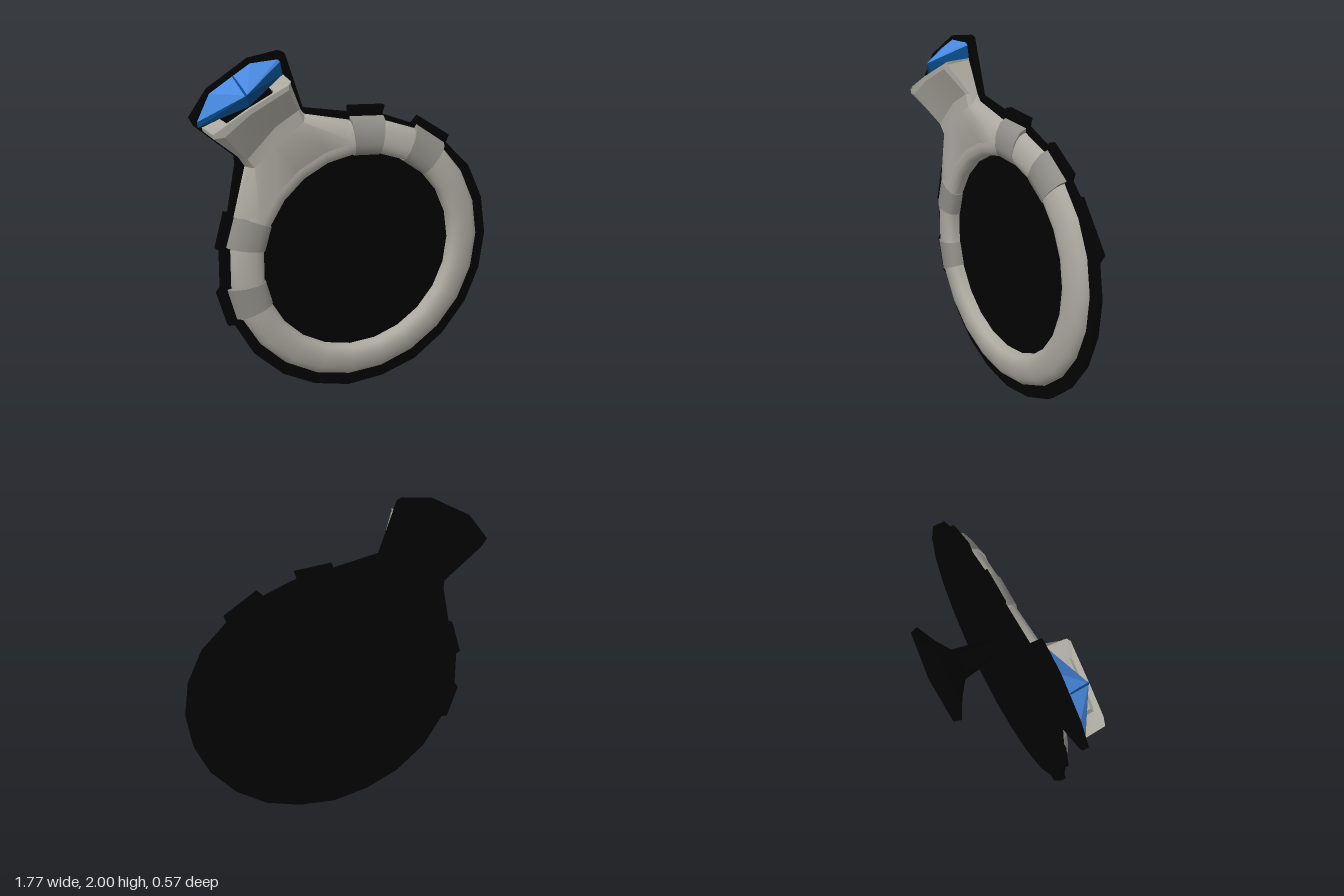
import * as THREE from 'three';
import { toCreasedNormals } from 'three/addons/utils/BufferGeometryUtils.js';
import { ConvexGeometry } from 'three/addons/geometries/ConvexGeometry.js';

const CX = 0.06, CY = 0.83; // centre of the ring
const BACK = 0.1, FACE = 0.135; // back and front of the plate
const RAD = Math.PI / 180;

const paint = (color, flatShading = false) => new THREE.MeshStandardMaterial({ color, flatShading });
const black = paint(0x020202, true);
const metal = paint(0xaba99f);
const clampMetal = paint(0x8f8d87);
const lightBlue = paint(0x4889e0, true);
const darkBlue = paint(0x094a88, true);

function add(group, name, geometry, material) {
  const mesh = new THREE.Mesh(geometry, material);
  mesh.name = name;
  group.add(mesh);
  return mesh;
}

// Skin between matching open sections, with both ends closed
function loft(sections, crease) {
  const n = sections[0].length, last = sections.length - 1, pos = [];
  const tri = (a, b, c) => pos.push(...a, ...b, ...c);
  for (let s = 0; s < last; s++) {
    for (let i = 0; i < n - 1; i++) {
      const a = sections[s][i], b = sections[s][i + 1];
      const c = sections[s + 1][i + 1], d = sections[s + 1][i];
      tri(a, b, c);
      tri(a, c, d);
    }
  }
  for (let i = 1; i < n - 1; i++) {
    tri(sections[0][0], sections[0][i + 1], sections[0][i]);
    tri(sections[last][0], sections[last][i], sections[last][i + 1]);
  }
  const g = new THREE.BufferGeometry();
  g.setAttribute('position', new THREE.Float32BufferAttribute(pos, 3));
  return toCreasedNormals(g, crease);
}

// Lathe turned so that its axis runs along z
function lathe(profile, segments, start = 0) {
  const g = new THREE.LatheGeometry(profile.map(p => new THREE.Vector2(...p)), segments, start);
  return g.rotateX(Math.PI / 2);
}

// Point on the ring at an angle, radius and height
const polar = (deg, r, z) => [CX + r * Math.cos(deg * RAD), CY + r * Math.sin(deg * RAD), z];

const hull = points => new ConvexGeometry(points.map(p => new THREE.Vector3(...p)));

export function createModel() {
  const model = new THREE.Group();
  model.name = 'ringOnStand';

  // Back plate following the whole silhouette, clamps and gem included
  const outline = [
    [0.88, 0.82], [0.85, 1.04], [0.76, 1.24], [0.61, 1.395], [0.627, 1.438], [0.437, 1.565],
    [0.4, 1.525], [0.21, 1.6], [0.225, 1.65], [0.013, 1.665], [0.01, 1.63], [-0.257, 1.68],
    [-0.357, 1.985], [-0.365, 1.993], [-0.39, 2], [-0.558, 1.973], [-0.786, 1.83], [-0.886, 1.687],
    [-0.86, 1.64], [-0.645, 1.455], [-0.64, 1.41], [-0.688, 1.145], [-0.712, 1.151], [-0.765, 0.95],
    [-0.743, 0.94], [-0.743, 0.72], [-0.765, 0.69], [-0.706, 0.493], [-0.67, 0.493],
    [-0.558, 0.297], [-0.39, 0.143], [-0.2, 0.048], [0.013, 0], [0.23, 0.02], [0.44, 0.09],
    [0.62, 0.223], [0.765, 0.403], [0.85, 0.605],
  ].map(p => new THREE.Vector2(...p));
  const plate = new THREE.ExtrudeGeometry(new THREE.Shape(outline), { depth: FACE - BACK, bevelEnabled: false });
  add(model, 'backPlate', plate.translate(0, 0, BACK), black);

  // Rounded ring band
  const band = lathe([
    [0.755, FACE], [0.75, 0.155], [0.735, 0.174], [0.71, 0.19], [0.67, 0.202], [0.63, 0.207],
    [0.6, 0.2], [0.58, 0.188], [0.572, 0.17], [0.57, FACE],
  ], 23, 90 * RAD);
  add(model, 'ringBand', band, metal).position.set(CX, CY, 0);

  // Clamps gripping the band
  const clampProfile = [
    [0.566, FACE], [0.567, 0.175], [0.585, 0.198], [0.63, 0.21], [0.7, 0.202], [0.76, 0.172], [0.78, FACE],
  ];
  for (const [from, to] of [[78.4, 93.5], [46.5, 62.5], [157, 171], [189, 203]]) {
    const sections = [from, to].map(deg => clampProfile.map(([r, z]) => polar(deg, r, z)));
    add(model, 'clamp', loft(sections, 1), clampMetal);
  }

  // Shoulder spreading from the crest of the band to the setting
  const shoulder = [
    [-0.665, 1.12, FACE], [-0.64, 1.12, 0.175],
    ...[158, 142, 125, 108, 92].map(deg => polar(deg, 0.64, 0.205)),
    [0.01, 1.56, 0.175], [0.01, 1.59, FACE],
  ];
  const neck = [
    [-0.595, 1.4, FACE], [-0.585, 1.4, 0.175], [-0.56, 1.4, 0.197], [-0.5, 1.455, 0.2], [-0.44, 1.51, 0.203],
    [-0.36, 1.565, 0.2], [-0.28, 1.62, 0.197], [-0.265, 1.64, 0.175], [-0.25, 1.65, FACE],
  ];
  add(model, 'shoulder', loft([shoulder, neck], 1.1), metal);

  // Setting flaring forward below the gem, with a hollow in its end
  const settingFoot = neck.filter((_, i) => i !== 3 && i !== 5);
  const flareFoot = [
    [-0.63, 1.453, FACE], [-0.615, 1.45, 0.185], [-0.6, 1.453, 0.2], [-0.44, 1.612, 0.2],
    [-0.31, 1.687, 0.195], [-0.29, 1.69, 0.18], [-0.28, 1.685, FACE],
  ];
  const flareTop = [
    [-0.82, 1.615, FACE], [-0.807, 1.605, 0.275], [-0.75, 1.61, 0.285], [-0.61, 1.715, 0.285],
    [-0.395, 1.825, 0.285], [-0.378, 1.85, 0.27], [-0.37, 1.865, FACE],
  ];
  const lip = [
    [-0.825, 1.635, FACE], [-0.81, 1.628, 0.275], [-0.77, 1.655, 0.285], [-0.62, 1.742, 0.285],
    [-0.395, 1.853, 0.285], [-0.378, 1.868, 0.27], [-0.37, 1.875, FACE],
  ];
  const inset = lip.map(p => p.map((v, k) => v + ([-0.6, 1.745, 0.21][k] - v) * 0.4));
  const hollow = inset.map(([x, y, z]) => [x + 0.03, y - 0.045, z]);
  add(model, 'setting', loft([settingFoot, flareFoot, flareTop, lip, inset, hollow], 0.3), metal);

  // Cut gem: bright crown and dark lower facets share one ridge
  const ridge = [[-0.85, 1.665, FACE], [-0.62, 1.815, 0.268], [-0.385, 1.945, FACE]];
  const crown = [[-0.78, 1.81, FACE], [-0.65, 1.893, 0.14], [-0.553, 1.95, FACE], [-0.4, 1.958, FACE]];
  const facets = [[-0.845, 1.635, FACE], [-0.6, 1.75, 0.245], [-0.372, 1.875, FACE]];
  add(model, 'gemCrown', hull([...ridge, ...crown]), lightBlue);
  add(model, 'gemLowerFacets', hull([...ridge, ...facets]), darkBlue);
  // Fine groove across the crown
  const groove = hull([
    [-0.628, 1.812, 0.265], [-0.612, 1.818, 0.265], [-0.62, 1.815, 0.271],
    [-0.657, 1.888, FACE], [-0.643, 1.896, FACE], [-0.65, 1.892, 0.147],
  ]);
  add(model, 'gemGroove', groove, darkBlue);

  // Five-sided stem and foot behind the plate
  const stand = lathe([
    [0, -0.283], [0.302, -0.283], [0.317, -0.235], [0.195, -0.18], [0.1, -0.12], [0.058, BACK + 0.01],
  ], 5, 90 * RAD);
  add(model, 'stand', stand, black).position.set(0.083, 0.84, 0);

  return model;
}
